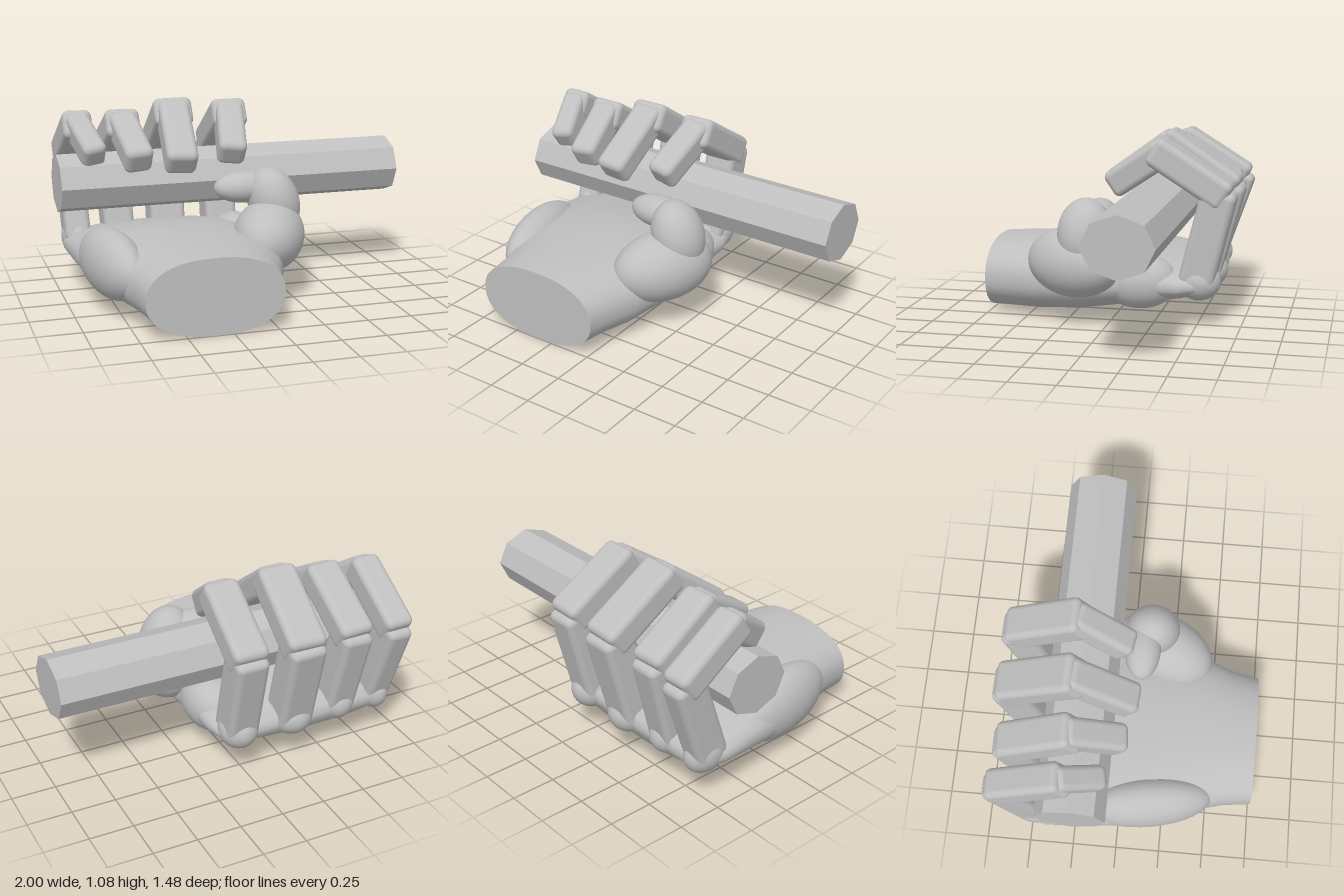
import * as THREE from 'three';
import { RoundedBoxGeometry } from 'three/addons/geometries/RoundedBoxGeometry.js';

const clay = new THREE.MeshStandardMaterial({ color: 0xbfbfbf });
clay.name = 'plain grey';

function add(parent, name, geometry) {
  const mesh = new THREE.Mesh(geometry, clay);
  mesh.name = name;
  parent.add(mesh);
  return mesh;
}

// Soft muscle mass
function ellipsoid(parent, name, centre, radii, rotation = [0, 0, 0]) {
  const mesh = add(parent, name, new THREE.SphereGeometry(1, 40, 28));
  mesh.position.set(...centre);
  mesh.scale.set(...radii);
  mesh.rotation.set(...rotation);
}

// Rounded box running between two joints, extended past each end
function bone(parent, name, a, b, width, thick, extA, extB) {
  const dir = b.clone().sub(a).normalize();
  const start = a.clone().addScaledVector(dir, -extA);
  const end = b.clone().addScaledVector(dir, extB);
  const side = new THREE.Vector3(1, 0, 0).addScaledVector(dir, -dir.x).normalize();
  const up = dir.clone().cross(side);
  const mesh = add(parent, name, new RoundedBoxGeometry(width, thick, start.distanceTo(end), 4, 0.038));
  mesh.quaternion.setFromRotationMatrix(new THREE.Matrix4().makeBasis(side, up, dir));
  mesh.position.copy(start).lerp(end, 0.5);
}

// Superellipse ring: left x, right x, bottom y, top y
function ring([, x0, x1, y0, y1], n) {
  const soft = (v) => Math.sign(v) * Math.abs(v) ** 0.87;
  return Array.from({ length: n }, (_, j) => {
    const a = (j / n) * Math.PI * 2;
    return new THREE.Vector2(
      (x0 + x1) / 2 + ((x1 - x0) / 2) * soft(Math.cos(a)),
      (y0 + y1) / 2 + ((y1 - y0) / 2) * soft(Math.sin(a)));
  });
}

function loft(sections, n) {
  const positions = [], index = [];
  sections.forEach((s, i) => {
    ring(s, n).forEach((p, j) => {
      positions.push(p.x, p.y, s[0]);
      if (i === sections.length - 1) return;
      const k = (j + 1) % n, a = i * n, b = a + n;
      index.push(a + j, b + j, a + k, a + k, b + j, b + k);
    });
  });
  const g = new THREE.BufferGeometry();
  g.setAttribute('position', new THREE.Float32BufferAttribute(positions, 3));
  g.setIndex(index);
  g.computeVertexNormals();
  return g;
}

export function createModel() {
  const model = new THREE.Group();
  model.name = 'grippingHand';

  // Octagonal bar
  const bar = add(model, 'bar', new THREE.CylinderGeometry(1, 1, 2, 8).toNonIndexed());
  bar.geometry.rotateZ(Math.PI / 2);
  bar.geometry.scale(1, 0.166, 0.194);
  bar.geometry.computeVertexNormals();
  bar.position.set(0, 0.637, -0.245);

  // Wrist and palm: z, left x, right x, bottom y, top y
  const sections = [
    [0.75, -0.72, 0.03, 0, 0.42],
    [0.6, -0.74, 0.06, 0, 0.43],
    [0.45, -0.78, 0.12, 0.005, 0.435],
    [0.2, -0.88, 0.17, 0.02, 0.44],
    [0, -0.92, 0.17, 0.05, 0.43],
    [-0.2, -0.94, 0.16, 0.085, 0.4],
    [-0.4, -0.95, 0.15, 0.12, 0.35],
    [-0.5, -0.93, 0.13, 0.15, 0.33],
    [-0.56, -0.85, 0.06, 0.18, 0.3],
    [-0.57, -0.4, -0.39, 0.23, 0.24],
  ];
  add(model, 'palm', loft(sections, 56));
  const cut = add(model, 'wristEnd', new THREE.ShapeGeometry(new THREE.Shape(ring(sections[0], 56))));
  cut.position.z = 0.75;
  ellipsoid(model, 'palmHeel', [-0.775, 0.265, 0.17], [0.14, 0.19, 0.36], [0, 0.17, 0]);
  ellipsoid(model, 'indexPad', [0.03, 0.25, -0.17], [0.15, 0.16, 0.22]);

  // Thumb
  const thumb = new THREE.Group();
  thumb.name = 'thumb';
  model.add(thumb);
  ellipsoid(thumb, 'thumbMound', [0.12, 0.36, 0.19], [0.2, 0.2, 0.3], [0, -0.45, 0]);
  ellipsoid(thumb, 'thumbKnuckle', [0.17, 0.54, 0.115], [0.145, 0.2, 0.155], [0, 0, 0.35]);
  ellipsoid(thumb, 'thumbTip', [0.01, 0.62, 0.07], [0.175, 0.09, 0.1]);

  // Fingers: joints from knuckle to tip, then widths of the three bones
  const fingers = {
    little: { joints: [[-0.86, 0.26, -0.46], [-0.875, 0.75, -0.63], [-0.865, 0.95, -0.31], [-0.8, 0.8, -0.1]], w: [0.15, 0.17, 0.135] },
    ring: { joints: [[-0.61, 0.25, -0.47], [-0.625, 0.75, -0.6], [-0.61, 0.95, -0.28], [-0.57, 0.78, 0]], w: [0.18, 0.2, 0.16] },
    middle: { joints: [[-0.31, 0.26, -0.5], [-0.3, 0.77, -0.635], [-0.31, 1.0, -0.29], [-0.34, 0.76, 0.04]], w: [0.21, 0.225, 0.18] },
    index: { joints: [[0.02, 0.27, -0.5], [0.03, 0.77, -0.625], [0.025, 0.98, -0.29], [-0.035, 0.79, -0.01]], w: [0.19, 0.205, 0.16] },
  };
  for (const [name, { joints, w }] of Object.entries(fingers)) {
    const finger = new THREE.Group();
    finger.name = name + 'Finger';
    model.add(finger);
    const p = joints.map((j) => new THREE.Vector3(...j));
    ellipsoid(finger, 'knuckle', [joints[0][0], 0.26, joints[0][2] - 0.01], [w[0] * 0.58, 0.11, 0.125]);
    bone(finger, 'lowerBone', p[0], p[1], w[0], 0.2, 0.03, 0.02);
    bone(finger, 'middleBone', p[1], p[2], w[1], 0.17, 0.05, 0.05);
    bone(finger, 'tipBone', p[2], p[3], w[2], 0.16, 0.04, 0.01);
  }
  return model;
}
